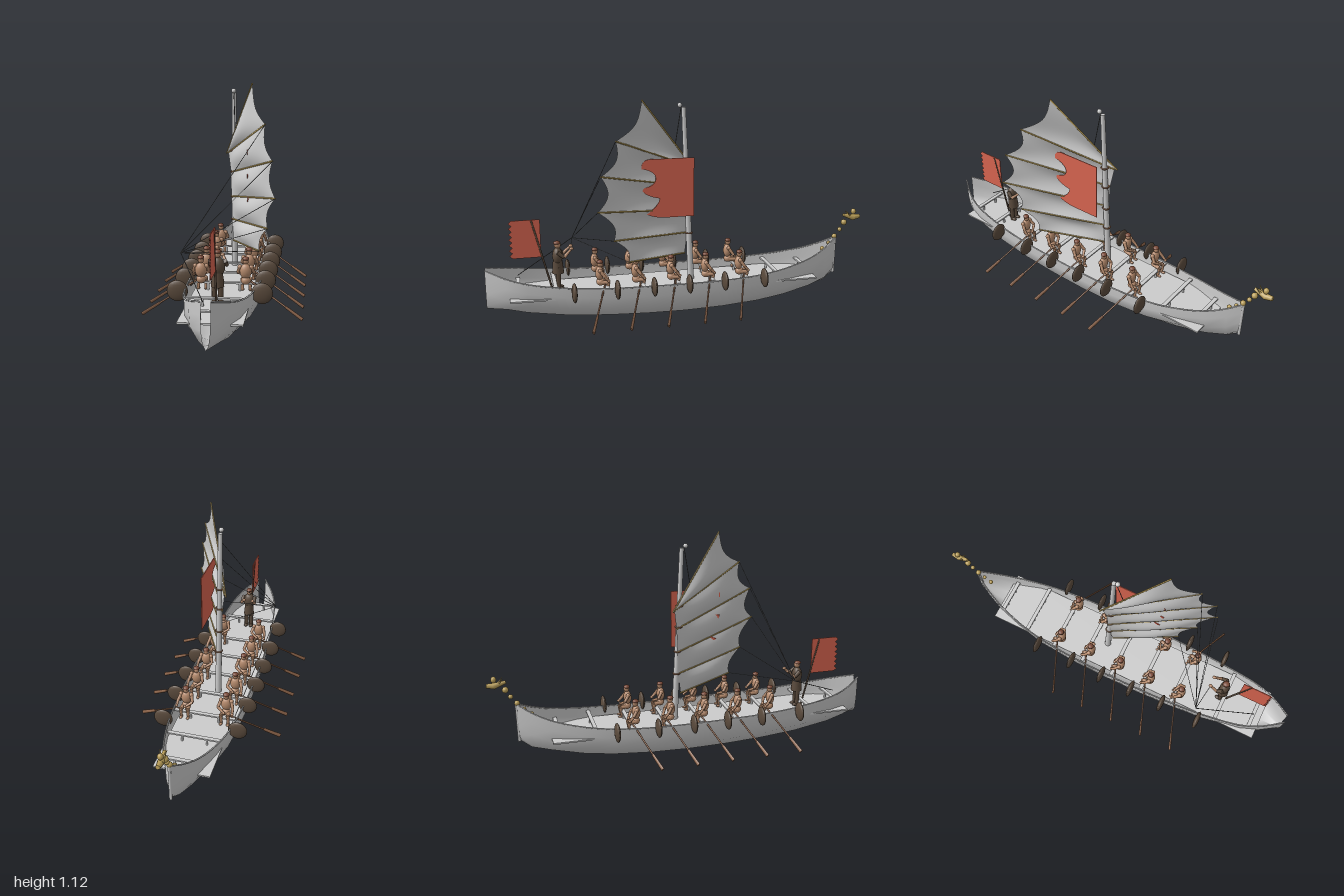
import * as THREE from 'three';

const V = (x, y, z) => new THREE.Vector3(x, y, z);
const mat = (color, side = THREE.FrontSide) => new THREE.MeshStandardMaterial({ color, side });
const GREY = mat(0xcccccc), HULL = mat(0xcccccc, THREE.DoubleSide), RED = mat(0xd86550, THREE.DoubleSide);
const SKIN = mat(0xb58a6c), CAP = mat(0x7a4a38), DARK = mat(0x5a4a3c), WOOD = mat(0x8a6248);
const GOLD = mat(0xb89d58), ROPE = mat(0x555555);

function add(parent, name, geo, material, pos) {
  const m = new THREE.Mesh(geo, material);
  m.name = name;
  if (pos) m.position.copy(pos);
  parent.add(m);
  return m;
}
// Tapered round bar between two points
function bar(parent, name, a, b, r, material, r2 = r, sides = 8) {
  const m = add(parent, name, new THREE.CylinderGeometry(r2, r, a.distanceTo(b), sides), material, a.clone().lerp(b, 0.5));
  m.quaternion.setFromUnitVectors(V(0, 1, 0), b.clone().sub(a).normalize());
  return m;
}
function ball(parent, name, p, rx, ry, rz, material) {
  const m = add(parent, name, new THREE.SphereGeometry(1, 16, 10), material, p);
  m.scale.set(rx, ry, rz);
  return m;
}
// Surface from a function of u, v over a regular grid
function sheet(parent, name, nu, nv, fn, material) {
  const pos = [], idx = [];
  for (let j = 0; j <= nv; j++) for (let i = 0; i <= nu; i++) pos.push(...fn(i / nu, j / nv).toArray());
  for (let j = 0; j < nv; j++) for (let i = 0; i < nu; i++) {
    const a = j * (nu + 1) + i, c = a + nu + 1;
    idx.push(a, a + 1, c + 1, a, c + 1, c);
  }
  const g = new THREE.BufferGeometry();
  g.setAttribute('position', new THREE.Float32BufferAttribute(pos, 3));
  g.setIndex(idx);
  g.computeVertexNormals();
  return add(parent, name, g, material);
}

// Hull stations: z, half beam, sheer height, keel height
const STATIONS = [
  [1, 0.02, 0.29, 0.085], [0.9, 0.085, 0.26, 0.07], [0.8, 0.123, 0.238, 0.053], [0.6, 0.153, 0.212, 0.028],
  [0.4, 0.168, 0.2, 0.014], [0.2, 0.175, 0.197, 0.006], [0, 0.176, 0.195, 0.003], [-0.2, 0.172, 0.196, 0.008],
  [-0.4, 0.157, 0.205, 0.02], [-0.55, 0.13, 0.223, 0.037], [-0.7, 0.086, 0.255, 0.063], [-0.8, 0.042, 0.295, 0.09],
  [-0.86, 0.008, 0.33, 0.14]];
const SECTION = [[-1, 1], [-0.99, 0.72], [-0.94, 0.4], [-0.57, 0.1], [0, 0], [0.57, 0.1], [0.94, 0.4], [0.99, 0.72], [1, 1]];

function stationAt(z) {
  let i = 0;
  while (i < STATIONS.length - 2 && STATIONS[i + 1][0] > z) i++;
  const a = STATIONS[i], b = STATIONS[i + 1], t = (a[0] - z) / (a[0] - b[0]);
  return a.map((v, k) => v + (b[k] - v) * t);
}

function buildHull(g) {
  sheet(g, 'hull', 8, STATIONS.length - 1, (u, v) => {
    const [z, w, top, keel] = STATIONS[Math.round(v * (STATIONS.length - 1))];
    const [sx, sy] = SECTION[Math.round(u * 8)];
    return V(sx * w, keel + sy * (top - keel), z);
  }, HULL);
  for (const s of [-1, 1]) {
    const rail = new THREE.CatmullRomCurve3(STATIONS.map(([z, w, top]) => V(s * w, top, z)));
    add(g, 'gunwale', new THREE.TubeGeometry(rail, 48, 0.004, 6), GREY);
  }
  bar(g, 'stemPost', V(0, 0.13, -0.858), V(0, 0.335, -0.862), 0.008, GREY);
  add(g, 'deck', new THREE.BoxGeometry(0.28, 0.008, 1.59), GREY, V(0, 0.155, 0.09));
  // Crossbeams on short posts
  for (const z of [-0.67, -0.49, -0.31, -0.13, 0.05, 0.23, 0.41, 0.66, 0.84]) {
    const w = stationAt(z)[1];
    add(g, 'thwart', new THREE.BoxGeometry(2 * w - 0.01, 0.008, 0.02), GREY, V(0, 0.196, z));
    for (const s of [-1, 1]) bar(g, 'thwartPost', V(s * w * 0.45, 0.155, z), V(s * w * 0.45, 0.195, z), 0.006, GREY);
  }
}

// Seated oarsman with his oar; s is the side of the boat
function buildRower(g, s, z) {
  const r = new THREE.Group();
  r.name = 'rower';
  r.position.set(s * 0.105, 0, z);
  g.add(r);
  ball(r, 'hips', V(0, 0.218, 0), 0.023, 0.02, 0.022, SKIN);
  ball(r, 'torso', V(0, 0.263, 0.004), 0.028, 0.036, 0.021, SKIN);
  ball(r, 'head', V(0, 0.311, 0), 0.014, 0.017, 0.015, SKIN);
  ball(r, 'cap', V(0, 0.322, 0.001), 0.016, 0.01, 0.016, CAP);
  for (const k of [-1, 1]) {
    const shoulder = V(k * 0.027, 0.283, 0.003), elbow = V(k * 0.038, 0.252, -0.018), hand = V(k * 0.022 + s * 0.018, 0.232, -0.036);
    bar(r, 'upperArm', shoulder, elbow, 0.009, SKIN, 0.008);
    bar(r, 'forearm', elbow, hand, 0.008, SKIN, 0.006);
    ball(r, 'shoulder', shoulder, 0.011, 0.011, 0.011, SKIN);
    ball(r, 'hand', hand, 0.008, 0.008, 0.008, SKIN);
    const knee = V(k * 0.018, 0.216, -0.038);
    bar(r, 'thigh', V(k * 0.012, 0.216, 0), knee, 0.012, SKIN, 0.01);
    bar(r, 'shin', knee, V(k * 0.018, 0.165, -0.03), 0.009, SKIN, 0.007);
    ball(r, 'foot', V(k * 0.018, 0.164, -0.037), 0.008, 0.006, 0.015, SKIN);
  }
  const a = V(s * 0.02, 0.21, -0.02), tip = V(s * 0.268, 0.062, 0.072), neck = a.clone().lerp(tip, 0.68);
  bar(r, 'oarShaft', a, neck, 0.0045, WOOD);
  bar(r, 'oarBlade', neck, tip, 0.008, WOOD, 0.01).scale.z = 0.6;
}

function buildSteersman(g) {
  const c = new THREE.Group();
  c.name = 'steersman';
  c.position.z = 0.64;
  g.add(c);
  for (const k of [-1, 1]) {
    bar(c, 'leg', V(k * 0.014, 0.16, 0), V(k * 0.014, 0.28, 0), 0.011, DARK, 0.014);
    ball(c, 'boot', V(k * 0.015, 0.167, -0.008), 0.011, 0.009, 0.02, DARK);
    const shoulder = V(k * 0.032, 0.362, 0), elbow = V(k * 0.038, 0.335, -0.03), hand = V(k * 0.025 - 0.01, 0.372, -0.07);
    bar(c, 'upperArm', shoulder, elbow, 0.011, DARK, 0.009);
    bar(c, 'forearm', elbow, hand, 0.009, SKIN, 0.006);
    ball(c, 'hand', hand, 0.009, 0.008, 0.011, SKIN);
  }
  bar(c, 'tunicSkirt', V(0, 0.245, 0), V(0, 0.31, 0), 0.03, DARK, 0.024, 16);
  ball(c, 'tunic', V(0, 0.335, 0), 0.034, 0.045, 0.026, DARK);
  ball(c, 'head', V(0, 0.392, -0.002), 0.015, 0.018, 0.017, SKIN);
  ball(c, 'cap', V(0, 0.403, 0.001), 0.017, 0.01, 0.018, CAP);
}

// Battens as pairs of luff and leech ends, from the yard down to the foot
const BATTENS = [
  [V(-0.045, 0.75, -0.07), V(0.113, 1.118, 0.22)], [V(-0.035, 0.755, -0.06), V(0.185, 0.937, 0.36)],
  [V(-0.02, 0.655, -0.045), V(0.225, 0.778, 0.44)], [V(-0.018, 0.53, -0.04), V(0.24, 0.61, 0.46)],
  [V(-0.01, 0.41, -0.035), V(0.2, 0.453, 0.38)], [V(-0.004, 0.3, -0.02), V(0.155, 0.325, 0.3)]];

function buildSail(g) {
  for (let i = 0; i < 5; i++) {
    const [a0, a1] = BATTENS[i], [b0, b1] = BATTENS[i + 1];
    // Each panel billows and is hollowed along its free edge
    sheet(g, 'sailPanel', 16, 10, (u, v) => {
      const sag = Math.sin(Math.PI * v), t = u * (1 - 0.09 * sag);
      const p = a0.clone().lerp(a1, t).lerp(b0.clone().lerp(b1, t), v);
      return p.add(V(-0.02, 0, 0.01).multiplyScalar(sag * Math.sin(Math.PI * u)));
    }, HULL);
  }
  for (const [a, b] of BATTENS) bar(g, 'batten', a, b, 0.004, GOLD);
}

function buildRigging(g) {
  bar(g, 'mast', V(0, 0.155, -0.052), V(0, 1.065, -0.012), 0.017, GREY, 0.011, 16);
  ball(g, 'mastBall', V(0, 1.075, 0.008), 0.012, 0.012, 0.012, GREY);
  for (const y of [0.41, 0.53, 0.66, 0.77]) {
    const ring = add(g, 'mastRing', new THREE.TorusGeometry(0.017, 0.004, 6, 16), WOOD, V(0, y, -0.052 + (y - 0.155) * 0.044));
    ring.rotation.x = Math.PI / 2;
  }
  const block = V(-0.18, 0.37, 0.55);
  for (const [, b] of BATTENS.slice(1)) bar(g, 'sheetLine', block, b, 0.0015, ROPE, 0.0015, 5);
  bar(g, 'sternLine', block, V(-0.035, 0.235, 0.84), 0.002, ROPE, 0.002, 5);
  bar(g, 'handLine', block, V(-0.03, 0.37, 0.57), 0.0015, ROPE, 0.0015, 5);
  bar(g, 'halyard', V(0, 1.07, 0), V(0.01, 0.88, 0.033), 0.002, ROPE, 0.002, 5);
}

// Thin banner drawn in z, y and set upright along the boat
function banner(g, name, shape, x) {
  const geo = new THREE.ExtrudeGeometry(shape, { depth: 0.004, bevelEnabled: false });
  geo.rotateY(-Math.PI / 2);
  add(g, name, geo, RED, V(x + 0.002, 0, 0));
}

function buildBanners(g) {
  const big = new THREE.Shape();
  big.moveTo(-0.045, 0.525);
  big.lineTo(-0.045, 0.825);
  big.lineTo(0.185, 0.825);
  big.quadraticCurveTo(0.225, 0.815, 0.222, 0.778);
  big.quadraticCurveTo(0.15, 0.765, 0.15, 0.725);
  big.quadraticCurveTo(0.155, 0.685, 0.222, 0.68);
  big.quadraticCurveTo(0.215, 0.64, 0.13, 0.625);
  big.quadraticCurveTo(0.14, 0.575, 0.205, 0.55);
  big.quadraticCurveTo(0.16, 0.525, 0.1, 0.525);
  banner(g, 'sailBanner', big, 0.09);
  const small = new THREE.Shape();
  small.moveTo(0.72, 0.335);
  small.lineTo(0.72, 0.53);
  for (let i = 0; i < 7; i++) {
    small.lineTo(0.86, 0.53 - i * 0.028);
    small.lineTo(0.875, 0.516 - i * 0.028);
  }
  small.lineTo(0.86, 0.335);
  banner(g, 'sternBanner', small, 0);
  bar(g, 'sternBannerPole', V(0, 0.155, 0.67), V(0, 0.525, 0.762), 0.005, DARK);
}

function buildFigurehead(g) {
  for (const [y, z, r] of [[0.27, -0.79, 0.012], [0.3, -0.825, 0.01], [0.335, -0.858, 0.014], [0.372, -0.887, 0.012], [0.41, -0.91, 0.016]])
    ball(g, 'neckBead', V(0, y, z), r, r, r, GOLD);
  bar(g, 'skull', V(0, 0.452, -0.905), V(0, 0.435, -0.965), 0.008, GOLD, 0.017);
  bar(g, 'snout', V(0, 0.435, -0.96), V(0, 0.44, -1), 0.016, GOLD, 0.011);
  ball(g, 'crest', V(0, 0.468, -0.963), 0.014, 0.016, 0.014, GOLD);
  for (const s of [-1, 1]) bar(g, 'horn', V(s * 0.008, 0.45, -0.94), V(s * 0.016, 0.472, -0.92), 0.005, GOLD, 0.001);
}

export function createModel() {
  const g = new THREE.Group();
  g.name = 'sailingGalley';
  buildHull(g);
  for (const s of [-1, 1]) {
    for (let i = 0; i < 5; i++) buildRower(g, s, -0.285 + i * 0.181);
    for (const z of [-0.395, -0.185, 0, 0.18, 0.365, 0.577]) ball(g, 'shield', V(s * 0.192, 0.2, z), 0.049, 0.049, 0.014, DARK);
  }
  buildSteersman(g);
  buildSail(g);
  buildRigging(g);
  buildBanners(g);
  buildFigurehead(g);
  return g;
}
